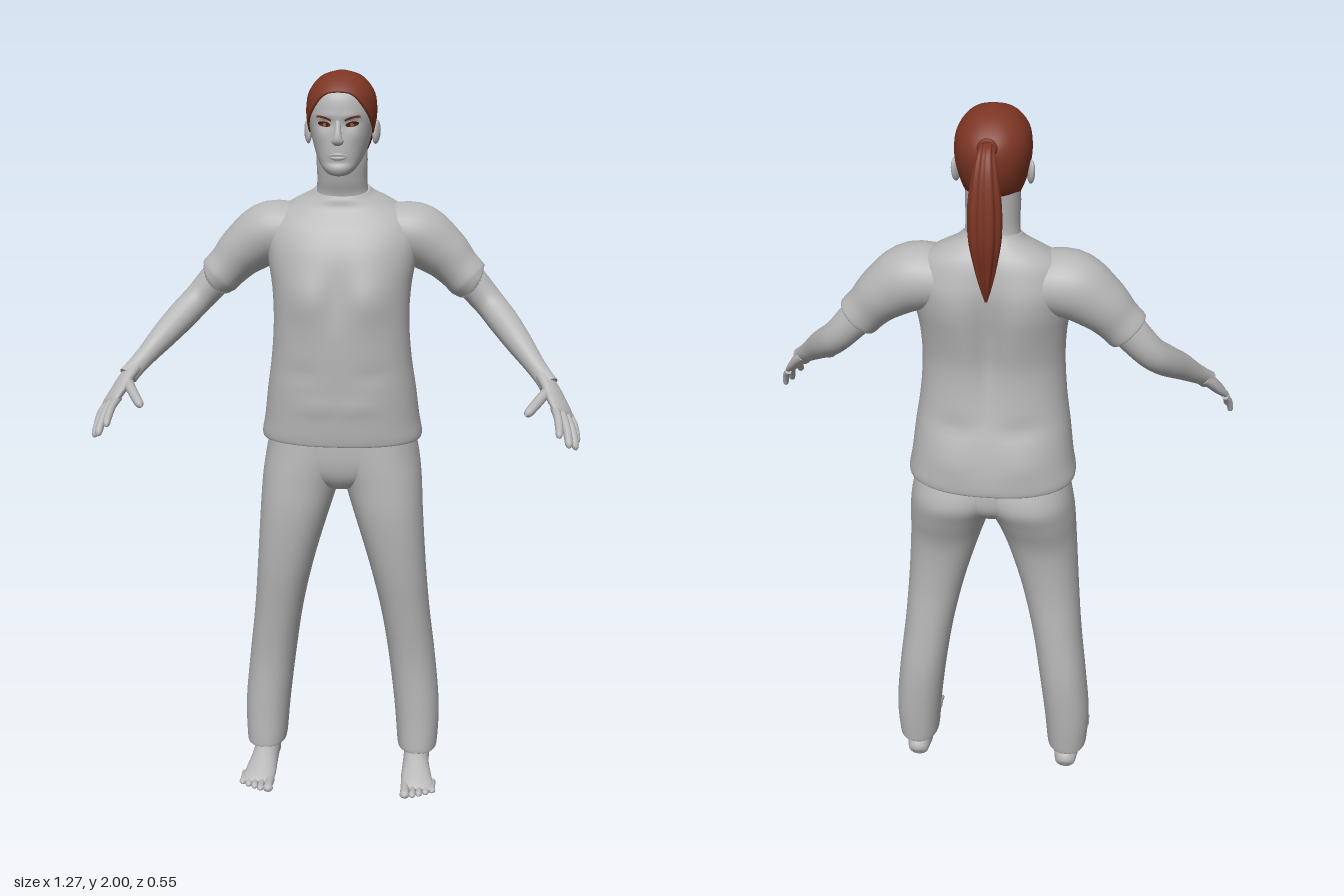
import * as THREE from 'three';

const V = (x, y, z) => new THREE.Vector3(x, y, z);
const mat = (name, color) => Object.assign(new THREE.MeshStandardMaterial({ color }), { name });

// Catmull-Rom subdivision of rows of numbers
function smooth(rows, sub = 5) {
  const out = [], at = i => rows[Math.min(Math.max(i, 0), rows.length - 1)];
  for (let i = 0; i < rows.length - 1; i++) for (let k = 0; k < sub; k++) {
    const t = k / sub;
    out.push(rows[i].map((p1, c) => {
      const p0 = at(i - 1)[c], p2 = at(i + 1)[c], p3 = at(i + 2)[c];
      return p1 + 0.5 * t * (p2 - p0 + t * (2 * p0 - 5 * p1 + 4 * p2 - p3 + t * (3 * (p1 - p2) + p3 - p0)));
    }));
  }
  return [...out, at(rows.length - 1)];
}

// Skin a list of closed rings; ends are closed with flat caps
function skin(rings, caps = true) {
  const n = rings[0].length, pos = [], idx = [];
  rings.forEach(r => r.forEach(p => pos.push(p.x, p.y, p.z)));
  for (let i = 0; i < rings.length - 1; i++) for (let j = 0; j < n; j++) {
    const a = i * n + j, b = i * n + (j + 1) % n;
    idx.push(a, b, b + n, a, b + n, a + n);
  }
  if (caps) [rings[0], rings[rings.length - 1]].forEach((r, end) => {
    const base = pos.length / 3, c = V(0, 0, 0);
    r.forEach(p => { pos.push(p.x, p.y, p.z); c.addScaledVector(p, 1 / n); });
    pos.push(c.x, c.y, c.z);
    for (let j = 0; j < n; j++) {
      const a = base + j, b = base + (j + 1) % n;
      idx.push(...(end ? [a, b, base + n] : [b, a, base + n]));
    }
  });
  const g = new THREE.BufferGeometry();
  g.setAttribute('position', new THREE.Float32BufferAttribute(pos, 3));
  g.setIndex(idx);
  g.computeVertexNormals();
  return g;
}

// Soft symmetric swellings: [x, y, width, height, depth]
const swell = list => (x, y) => list.reduce((s, [cx, cy, w, h, d]) =>
  s + d * Math.exp(-(((Math.abs(x) - cx) / w) ** 2) - ((y - cy) / h) ** 2), 0);
const none = () => 0;
const pw = (v, p) => Math.sign(v) * Math.abs(v) ** (2 / p);

// Level rings [y, x0, x1, zFront, zBack] stacked upward
function body(rows, { p = 2.3, n = 48, front = none, back = none, tilt = none, caps = true } = {}) {
  return skin(smooth(rows).map(([y, x0, x1, zf, zb]) => Array.from({ length: n }, (_, j) => {
    const t = j / n * Math.PI * 2, c = Math.cos(t);
    const x = (x0 + x1) / 2 + (x1 - x0) / 2 * pw(Math.sin(t), p);
    const z = (zf + zb) / 2 + (zf - zb) / 2 * pw(c, p);
    return V(x, y + tilt(y, z), z + front(x, y) * Math.max(0, c) - back(x, y) * Math.max(0, -c));
  })), caps);
}
const sym = rows => rows.map(([y, r, zf, zb]) => [y, -r, r, zf, zb]);

// Rings [x, y, z, a, b] square to a path; ref gives the direction of radius a
function limb(rows, ref = V(0, 0, 1), { n = 20, ripple = none, sub = 5 } = {}) {
  const s = smooth(rows, sub);
  return skin(s.map(([x, y, z, a, b], i) => {
    const q = s[Math.min(i + 1, s.length - 1)], o = s[Math.max(i - 1, 0)];
    const t = V(q[0] - o[0], q[1] - o[1], q[2] - o[2]).normalize();
    const A = ref.clone().addScaledVector(t, -ref.dot(t)).normalize(), B = t.clone().cross(A);
    return Array.from({ length: n }, (_, j) => {
      const w = j / n * Math.PI * 2, k = 1 + ripple(w);
      return V(x, y, z).addScaledVector(A, a * k * Math.cos(w)).addScaledVector(B, b * k * Math.sin(w));
    });
  }));
}

function mirrored(geo) {
  const g = geo.clone().scale(-1, 1, 1), ix = g.index.array;
  for (let i = 0; i < ix.length; i += 3) [ix[i], ix[i + 1]] = [ix[i + 1], ix[i]];
  g.computeVertexNormals();
  return g;
}

export function createModel() {
  const model = new THREE.Group();
  model.name = 'standingFigure';
  const grey = mat('plainGrey', 0xb6b6b6), red = mat('auburnHair', 0x7c3523);
  const dark = mat('darkLash', 0x451a12), amber = mat('amberIris', 0xa0522d);
  const add = (name, geo, m = grey) => {
    const mesh = new THREE.Mesh(geo, m);
    mesh.name = name;
    model.add(mesh);
  };
  const pair = (name, geo, m) => { add(name + 'Left', geo, m); add(name + 'Right', mirrored(geo), m); };

  // Shirt with chest, shoulder blades, spine groove and a collar lower in front
  add('shirt', body(sym([
    [1.035, .2, .04, -.22], [1.02, .217, .058, -.24], [1.035, .221, .064, -.246], [1.08, .213, .068, -.243],
    [1.16, .203, .072, -.228], [1.25, .19, .074, -.207], [1.35, .183, .074, -.197], [1.44, .187, .068, -.205],
    [1.52, .2, .052, -.213], [1.58, .205, .028, -.213], [1.63, .18, 0, -.2], [1.66, .135, -.018, -.182],
    [1.683, .088, -.022, -.163], [1.695, .074, -.026, -.157]]), {
    p: 2.35, n: 72,
    front: swell([[.09, 1.42, .055, .06, .012], [0, 1.43, .03, .08, -.008], [.1, 1.22, .05, .02, -.004], [.05, 1.13, .06, .02, .004]]),
    back: swell([[0, 1.42, .03, .2, -.022], [.1, 1.52, .06, .09, .01], [.09, 1.2, .06, .025, -.008], [.1, 1.11, .07, .04, .006]]),
    tilt: (y, z) => y > 1.6 ? -(z + .09) * 2.6 * (y - 1.6) : 0,
  }));
  pair('sleeve', limb([[.09, 1.575, -.105, .085, .07], [.19, 1.575, -.108, .09, .085], [.265, 1.53, -.108, .075, .072],
    [.31, 1.486, -.105, .061, .06], [.338, 1.457, -.103, .058, .058], [.342, 1.453, -.103, .052, .052]], undefined, { n: 32 }));

  // Trousers: seat and two legs
  add('trouserSeat', body(sym([[.885, .05, 0, -.13], [.92, .13, .024, -.19], [.97, .195, .033, -.228], [1.05, .2, .03, -.225]]), { p: 2.4 }));
  pair('trouserLeg', body([[.083, .17, .276, -.014, -.164], [.088, .165, .281, -.01, -.169], [.2, .155, .284, -.016, -.18],
    [.35, .137, .27, -.016, -.187], [.5, .114, .252, .002, -.178], [.65, .08, .239, .025, -.17], [.8, .036, .229, .038, -.182],
    [.9, .002, .223, .036, -.218], [.97, -.035, .214, .033, -.242], [1.04, -.06, .2, .028, -.225]], { p: 2.25, n: 40 }));

  // Bare feet with five toes
  pair('foot', limb([[.222, .03, -.158, .005, .005], [.222, .034, -.148, .028, .03], [.222, .045, -.1, .036, .045],
    [.222, .041, -.03, .038, .041], [.226, .027, .03, .044, .027], [.231, .016, .07, .046, .016], [.232, .012, .086, .042, .009]], V(1, 0, 0), { n: 28 }));
  pair('ankle', body([[.03, .186, .258, -.025, -.152], [.08, .189, .255, -.04, -.147], [.14, .19, .254, -.05, -.145]], { n: 24 }));
  for (let i = 0; i < 5; i++) {
    const x = .196 + i * .0185 + (i ? .003 : 0), r = i ? .0095 : .014, z = [.12, .119, .11, .1, .088][i];
    pair('toe' + (i + 1), limb([[x, .016, z - .055, r, r], [x, .016, z - .022, r * .9, r * .85],
      [x, .012, z - .008, r, r * .8], [x, .011, z, r * .2, r * .2]], V(1, 0, 0), { n: 12, sub: 4 }));
  }

  // Arms
  pair('arm', limb([[.27, 1.52, -.105, .046, .046], [.335, 1.46, -.104, .045, .046], [.395, 1.395, -.095, .042, .041],
    [.435, 1.352, -.055, .041, .04], [.475, 1.308, .002, .036, .035], [.515, 1.262, .055, .027, .027],
    [.54, 1.234, .088, .021, .025], [.553, 1.218, .105, .022, .026]], undefined, { n: 28 }));

  // Hands: palm, fingers and thumb
  const across = V(.055, -.035, -.045).normalize();
  pair('palm', limb([[.538, 1.236, .086, .024, .018], [.556, 1.214, .11, .031, .018], [.573, 1.186, .138, .038, .016],
    [.587, 1.164, .164, .039, .013], [.592, 1.156, .174, .034, .006]], across, { n: 24 }));
  const digit = (name, a, b, r) => {
    const at = (t, lift, k) => [...a.map((v, c) => v + (b[c] - v) * t + lift * [.5, .7, .3][c]), r * k, r * k];
    pair(name, limb([at(0, 0, 1.05), at(.35, .007, 1), at(.7, .006, .95), at(.92, .002, .8), at(1, 0, .12)], across, { n: 12, sub: 4 }));
  };
  digit('indexFinger', [.566, 1.174, .172], [.575, 1.122, .272], .0105);
  digit('middleFinger', [.582, 1.164, .172], [.602, 1.092, .256], .011);
  digit('ringFinger', [.596, 1.154, .16], [.621, 1.078, .222], .0105);
  digit('littleFinger', [.608, 1.146, .143], [.628, 1.083, .178], .009);
  digit('thumb', [.55, 1.207, .122], [.492, 1.165, .226], .0135);

  // Neck and head
  add('neck', body(sym([[1.63, .1, -.03, -.16], [1.68, .072, -.03, -.155], [1.72, .066, -.017, -.148],
    [1.77, .067, -.008, -.148], [1.82, .065, -.02, -.15]])));
  const head = sym([[1.738, .012, .035, .005], [1.743, .028, .044, -.02], [1.757, .044, .05, -.06], [1.78, .059, .048, -.115],
    [1.81, .07, .047, -.152], [1.845, .08, .044, -.172], [1.88, .087, .043, -.182], [1.91, .088, .042, -.184],
    [1.94, .083, .034, -.175], [1.967, .066, .01, -.148], [1.985, .043, -.02, -.118], [1.995, .006, -.06, -.075]]);
  const face = swell([[.034, 1.868, .018, .012, -.008], [.03, 1.888, .03, .008, .003], [.045, 1.835, .02, .016, .003], [0, 1.772, .03, .007, -.004]]);
  add('head', body(head, { front: face, n: 72 }));

  // Head surface lookups, so that hair and features follow it
  const dense = smooth(head, 8);
  const ringAt = y => {
    let i = 0;
    while (i < dense.length - 2 && dense[i + 1][0] < y) i++;
    const t = Math.min(Math.max((y - dense[i][0]) / (dense[i + 1][0] - dense[i][0]), 0), 1);
    return dense[i].map((v, c) => v + (dense[i + 1][c] - v) * t);
  };
  const faceZ = (x, y) => {
    const [, , r, zf, zb] = ringAt(y), u = Math.min(Math.abs(x) / r, 1);
    return (zf + zb) / 2 + (zf - zb) / 2 * (1 - u ** 2.3) ** (1 / 2.3) + face(x, y) * (1 - u * u) ** .5;
  };

  // Facial features
  const onFace = (geo, off, bend = none) => {
    const p = geo.attributes.position;
    for (let i = 0; i < p.count; i++) {
      const x = p.getX(i), y = p.getY(i) + bend(x);
      p.setXYZ(i, x, y, faceZ(x, y) + off);
    }
    geo.computeVertexNormals();
    return geo;
  };
  pair('eyeLash', onFace(new THREE.CircleGeometry(1, 20).scale(.017, .0065, 1).rotateZ(.15).translate(.036, 1.868, 0), .002), dark);
  pair('iris', onFace(new THREE.CircleGeometry(.0048, 14).translate(.035, 1.867, 0), .0035), amber);
  pair('brow', onFace(new THREE.PlaneGeometry(.04, .0055, 10, 1).rotateZ(.2).translate(.037, 1.885, 0), .002,
    x => -8 * (x - .04) ** 2), red);
  add('nose', limb([[0, 1.878, .036, .006, .006], [0, 1.86, .044, .008, .009], [0, 1.838, .051, .011, .011],
    [0, 1.826, .05, .016, .011], [0, 1.818, .044, .01, .005]], V(1, 0, 0)));
  [[1.793, .0045, 'upperLip'], [1.784, .0055, 'lowerLip']].forEach(([y, r, name]) =>
    add(name, limb([-.026, -.013, 0, .013, .026].map((x, i) => {
      const k = [.1, .8, 1, .8, .1][i];
      return [x, 1.7885 + (y - 1.7885) * k, faceZ(x, y) + .001, r * k, r * k];
    }), V(0, 1, 0), { n: 12 })));
  pair('ear', new THREE.SphereGeometry(1, 18, 14).scale(.009, .031, .018).rotateX(-.2).rotateY(-.35).translate(.09, 1.843, -.075));

  // Swept-back hair cap: rows rise from the hairline to the crown
  const line = smooth([[1.946], [1.938], [1.902], [1.866], [1.84], [1.795], [1.775], [1.77], [1.768]], 6);
  const N = 72, cap = [];
  for (let k = 0; k <= 18; k++) cap.push(Array.from({ length: N }, (_, j) => {
    const t = j / N * Math.PI * 2, f = Math.min(j, N - j) / (N / 2) * (line.length - 1), i = Math.floor(f);
    const low = line[i][0] + ((line[i + 1] || line[i])[0] - line[i][0]) * (f - i);
    const s = Math.sin(Math.max(0, k - 1) / 17 * Math.PI / 2), y = low + (1.995 - low) * s;
    const [, , r, zf, zb] = ringAt(y), off = k ? .005 : -.004;
    return V((r + off * (1 - s * .8)) * pw(Math.sin(t), 2.3), y + off * s,
      (zf + zb) / 2 + ((zf - zb) / 2 + off * (1 - s * .8)) * pw(Math.cos(t), 2.3));
  }));
  add('hairCap', skin(cap), red);

  // Ponytail with ribbed strands and a tie
  add('ponytail', limb([[0, 1.925, -.16, .022, .022], [0, 1.937, -.187, .018, .016], [0, 1.925, -.212, .022, .018],
    [0, 1.88, -.229, .03, .025], [0, 1.81, -.236, .038, .032], [0, 1.73, -.234, .037, .037], [0, 1.66, -.228, .026, .028],
    [0, 1.61, -.225, .015, .017], [0, 1.568, -.222, .003, .003]], V(1, 0, 0), { n: 54, ripple: w => .08 * Math.cos(9 * w) }), red);
  add('hairTie', new THREE.TorusGeometry(.018, .006, 10, 24).translate(0, 1.937, -.19), red);
  return model;
}
